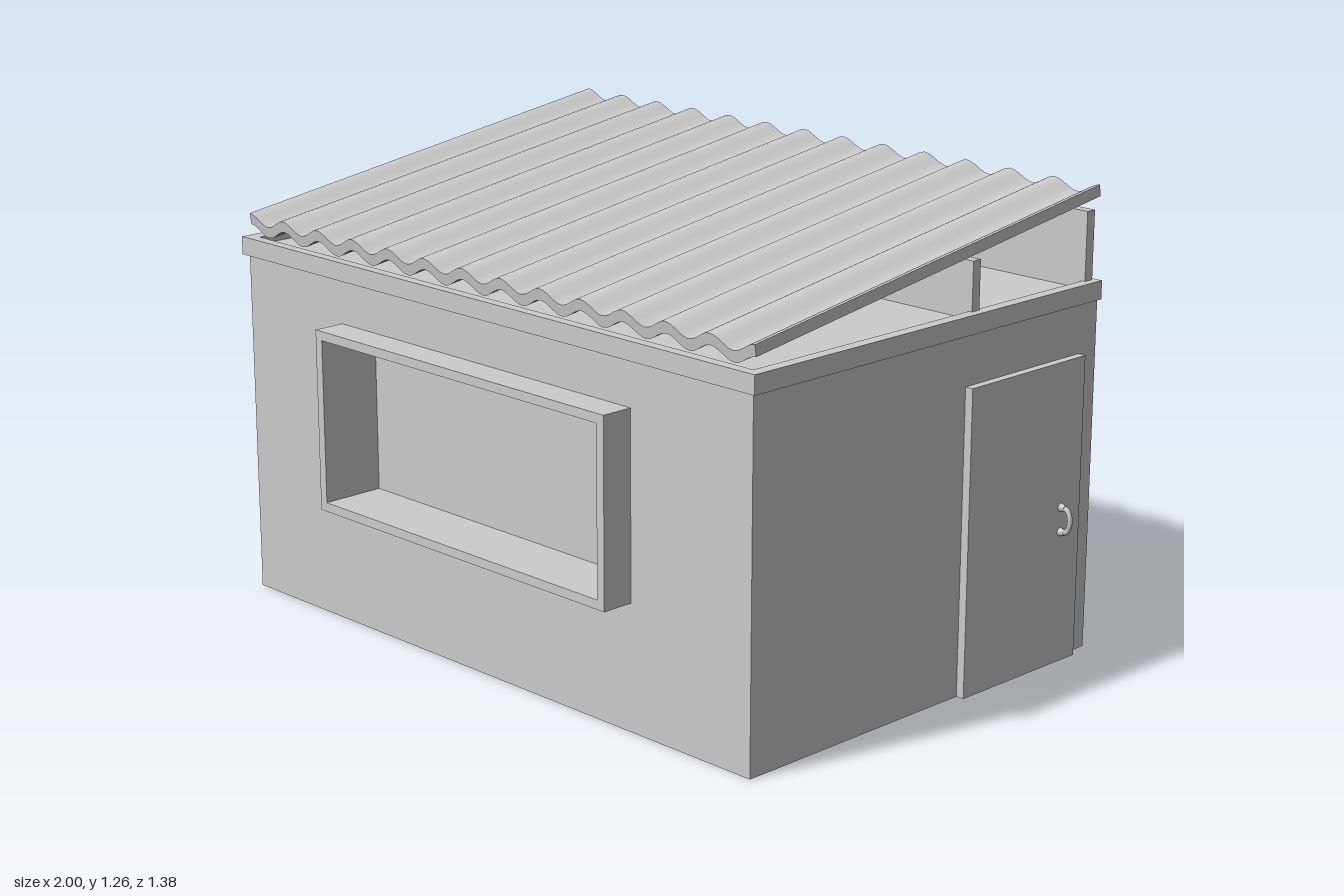
import * as THREE from 'three';
import { toCreasedNormals } from 'three/addons/utils/BufferGeometryUtils.js';

const grey = new THREE.MeshStandardMaterial({ color: 0xcccccc, side: THREE.DoubleSide });

function add(group, name, geometry) {
  const mesh = new THREE.Mesh(geometry, grey);
  mesh.name = name;
  group.add(mesh);
  return mesh;
}

// Box given by its two extreme corners
function box(group, name, [x0, y0, z0], [x1, y1, z1]) {
  const mesh = add(group, name, new THREE.BoxGeometry(x1 - x0, y1 - y0, z1 - z0));
  mesh.position.set((x0 + x1) / 2, (y0 + y1) / 2, (z0 + z1) / 2);
  return mesh;
}

function rect(Type, x0, y0, x1, y1) {
  return new Type().moveTo(x0, y0).lineTo(x1, y0).lineTo(x1, y1).lineTo(x0, y1).closePath();
}

// Rectangular outline with a rectangular opening
function ring(outer, inner) {
  const shape = rect(THREE.Shape, ...outer);
  shape.holes.push(rect(THREE.Path, ...inner));
  return shape;
}

const extrude = (shape, depth) =>
  new THREE.ExtrudeGeometry(shape, { depth, bevelEnabled: false });

const L = -0.98, R = 0.94, F = 0.6, B = -0.68, TOP = 1.01;

function createWalls() {
  const g = new THREE.Group();
  g.name = 'walls';
  // Thin shell, open underneath
  const front = ring([L, 0, R, TOP], [-0.57, 0.35, 0.52, 0.83]);
  add(g, 'frontWall', new THREE.ShapeGeometry(front)).position.z = F;
  const back = add(g, 'backWall', new THREE.PlaneGeometry(R - L, TOP));
  back.position.set((L + R) / 2, TOP / 2, B);
  back.rotation.y = Math.PI;
  for (const [name, x, s] of [['leftWall', R, 1], ['rightWall', L, -1]]) {
    const wall = add(g, name, new THREE.PlaneGeometry(F - B, TOP));
    wall.position.set(x, TOP / 2, (F + B) / 2);
    wall.rotation.y = s * Math.PI / 2;
  }
  box(g, 'deck', [L, 0.975, B], [R, 0.99, F]);
  // Projecting band around the top
  const band = ring([-1, -0.61, 0.953, -B], [-0.96, -0.58, 0.92, 0.66]);
  const rim = add(g, 'topBand', extrude(band, 0.05));
  rim.rotation.x = -Math.PI / 2;
  rim.position.y = 0.96;
  return g;
}

function createWindow() {
  const g = new THREE.Group();
  g.name = 'window';
  // Deep frame through the wall, closed at the back
  const frame = ring([-0.58, 0.34, 0.53, 0.84], [-0.555, 0.365, 0.505, 0.815]);
  add(g, 'windowFrame', extrude(frame, 0.21)).position.z = 0.48;
  box(g, 'windowPanel', [-0.555, 0.365, 0.48], [0.505, 0.815, 0.51]);
  return g;
}

function createDoor() {
  const g = new THREE.Group();
  g.name = 'door';
  box(g, 'doorLeaf', [R - 0.005, 0, -0.61], [0.963, 0.825, -0.16]);
  // Bowed handle, thicker at its two feet
  const bow = new THREE.CatmullRomCurve3([
    [0.96, 0.43], [0.983, 0.427], [0.993, 0.41], [0.993, 0.383], [0.983, 0.366], [0.96, 0.363],
  ].map(([x, y]) => new THREE.Vector3(x, y, -0.532)));
  add(g, 'doorHandle', new THREE.TubeGeometry(bow, 32, 0.007, 12));
  for (const y of [0.43, 0.363]) {
    const foot = add(g, 'handleFoot', new THREE.CylinderGeometry(0.008, 0.012, 0.016, 16));
    foot.rotation.z = -Math.PI / 2;
    foot.position.set(0.97, y, -0.532);
  }
  return g;
}

function createRoof() {
  const g = new THREE.Group();
  g.name = 'roof';
  // Upright panels carrying the sheet
  box(g, 'middleSupport', [L, 0.985, -0.216], [0.93, 1.14, -0.188]);
  box(g, 'backSupport', [L, 0.985, -0.668], [0.93, 1.195, -0.638]);

  // Corrugated sheet: wave profile swept along the slope
  const waves = 13, steps = waves * 10, width = 1.92, length = 1.283;
  const edge = (offset) => Array.from({ length: steps + 1 }, (_, i) => new THREE.Vector2(
    -width / 2 + (width * i) / steps,
    offset + 0.0145 * Math.cos((i / steps) * waves * Math.PI * 2)));
  const profile = new THREE.Shape([...edge(-0.0155), ...edge(0.0155).reverse()]);
  const geometry = extrude(profile, length).translate(0, 0, -length / 2);
  const sheet = add(g, 'corrugatedSheet', toCreasedNormals(geometry, 0.7));
  sheet.position.set(-0.025, 1.1375, -0.0475);
  sheet.rotation.x = Math.atan2(0.185, 1.27);
  return g;
}

export function createModel() {
  const model = new THREE.Group();
  model.name = 'shed';
  model.add(createWalls(), createWindow(), createDoor(), createRoof());
  return model;
}
